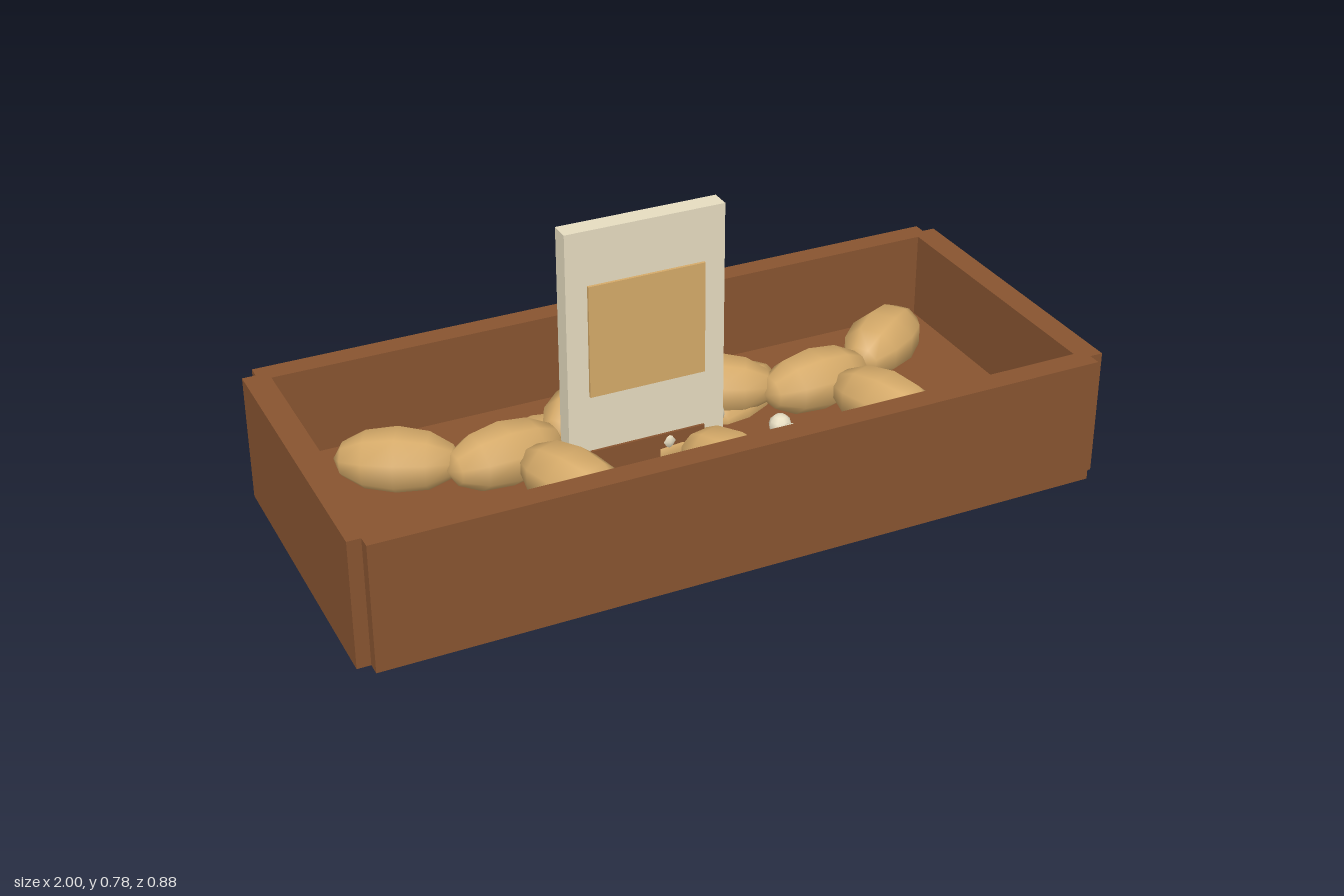
import * as THREE from 'three';

const mat = (name, color) => {
  const m = new THREE.MeshStandardMaterial({ color });
  m.name = name;
  return m;
};

export function createModel() {
  const model = new THREE.Group();
  model.name = 'potatoCrate';
  const wood = mat('brown wood', 0x885430);
  const tan = mat('tan', 0xd5aa69);
  const cream = mat('cream', 0xe6dcc0);

  // Box given by its minimum and maximum corners
  const box = (name, material, min, max, parent = model) => {
    const size = max.map((v, i) => v - min[i]);
    const mesh = new THREE.Mesh(new THREE.BoxGeometry(...size), material);
    mesh.position.set(...max.map((v, i) => (v + min[i]) / 2));
    mesh.name = name;
    parent.add(mesh);
  };

  // Open crate: floor, two long walls and two end walls with notched corners
  const crate = new THREE.Group();
  crate.name = 'crate';
  model.add(crate);
  box('floor', wood, [-0.965, 0.002, -0.41], [0.965, 0.105, 0.41], crate);
  for (const s of [-1, 1]) {
    const z = [s * 0.38, s * 0.442].sort((a, b) => a - b);
    const x = [s * 0.933, s].sort((a, b) => a - b);
    box('longWall', wood, [-0.965, 0.001, z[0]], [0.965, 0.345, z[1]], crate);
    box('endWall', wood, [x[0], 0.001, -0.408], [x[1], 0.345, 0.408], crate);
  }

  // Upright sign with its label and a low brown strip
  const sign = new THREE.Group();
  sign.name = 'sign';
  model.add(sign);
  box('signBoard', cream, [-0.303, 0, -0.036], [0.124, 0.776, 0.017], sign);
  box('signLabel', tan, [-0.246, 0.325, 0.017], [0.068, 0.63, 0.0245], sign);
  box('signStrip', wood, [-0.246, 0.105, 0.017], [0.068, 0.17, 0.024], sign);

  // Potatoes: the same group of four, repeated along the crate
  const potatoShape = new THREE.SphereGeometry(1, 8, 6);
  potatoShape.rotateZ(Math.PI / 2);
  potatoShape.rotateX(Math.PI / 8);
  potatoShape.scale(0.16, 0.083, 0.094);
  const layout = [ // x, y, z, turn in degrees
    [-0.25, 0.17, -0.15, -28],
    [0, 0.17, -0.06, 6],
    [0.1, 0.175, 0.13, -68],
    [0.265, 0.175, -0.165, 36],
  ];
  // The middle heap sits lower than its neighbours
  [[-0.445, 0], [-0.005, -0.07], [0.435, 0]].forEach(([cx, dy]) => {
    const heap = new THREE.Group();
    heap.name = 'potatoHeap';
    heap.position.set(cx, dy, 0);
    for (const [x, y, z, turn] of layout) {
      const p = new THREE.Mesh(potatoShape, tan);
      p.name = 'potato';
      p.position.set(x, y, z);
      p.rotation.y = THREE.MathUtils.degToRad(turn);
      heap.add(p);
    }
    model.add(heap);
  });

  // Small pale pebbles
  const pebbleShape = new THREE.SphereGeometry(0.031, 8, 6);
  for (const [x, y, z] of [[0.257, 0.15, 0.08], [0.257, 0.15, 0.135], [0.14, 0.14, -0.07], [-0.03, 0.145, 0]]) {
    const p = new THREE.Mesh(pebbleShape, cream);
    p.name = 'pebble';
    p.position.set(x, y, z);
    model.add(p);
  }
  return model;
}
